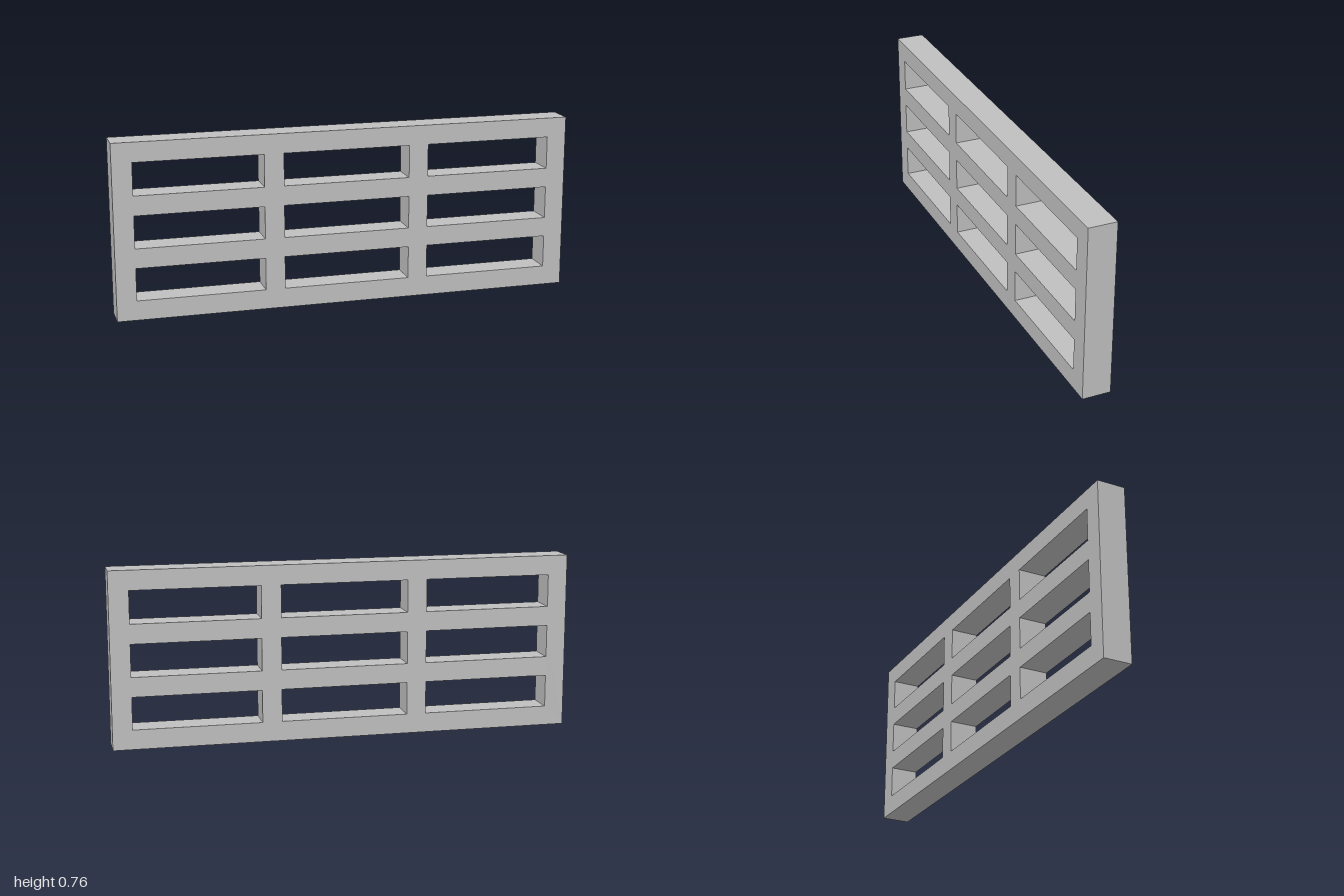
import * as THREE from 'three';

const WIDTH = 2, HEIGHT = 0.763, DEPTH = 0.123, BAR = 0.085;
const COLUMNS = 3, ROWS = 3;

// Adds a closed rectangle to a shape or path
function rectangle(path, x, y, w, h) {
  path.moveTo(x, y);
  path.lineTo(x + w, y);
  path.lineTo(x + w, y + h);
  path.lineTo(x, y + h);
  path.closePath();
  return path;
}

export function createModel() {
  const group = new THREE.Group();
  group.name = 'openGrille';

  const grey = new THREE.MeshStandardMaterial({ color: 0xbfbfbf });
  grey.name = 'light grey';

  // Outer panel with a regular grid of rectangular openings
  const outline = rectangle(new THREE.Shape(), -WIDTH / 2, 0, WIDTH, HEIGHT);
  const holeW = (WIDTH - BAR * (COLUMNS + 1)) / COLUMNS;
  const holeH = (HEIGHT - BAR * (ROWS + 1)) / ROWS;
  for (let c = 0; c < COLUMNS; c++) {
    for (let r = 0; r < ROWS; r++) {
      const x = -WIDTH / 2 + BAR + c * (holeW + BAR);
      const y = BAR + r * (holeH + BAR);
      outline.holes.push(rectangle(new THREE.Path(), x, y, holeW, holeH));
    }
  }

  const geometry = new THREE.ExtrudeGeometry(outline, { depth: DEPTH, bevelEnabled: false });
  geometry.translate(0, 0, -DEPTH / 2);

  const frame = new THREE.Mesh(geometry, grey);
  frame.name = 'gridFrame';
  group.add(frame);
  return group;
}
